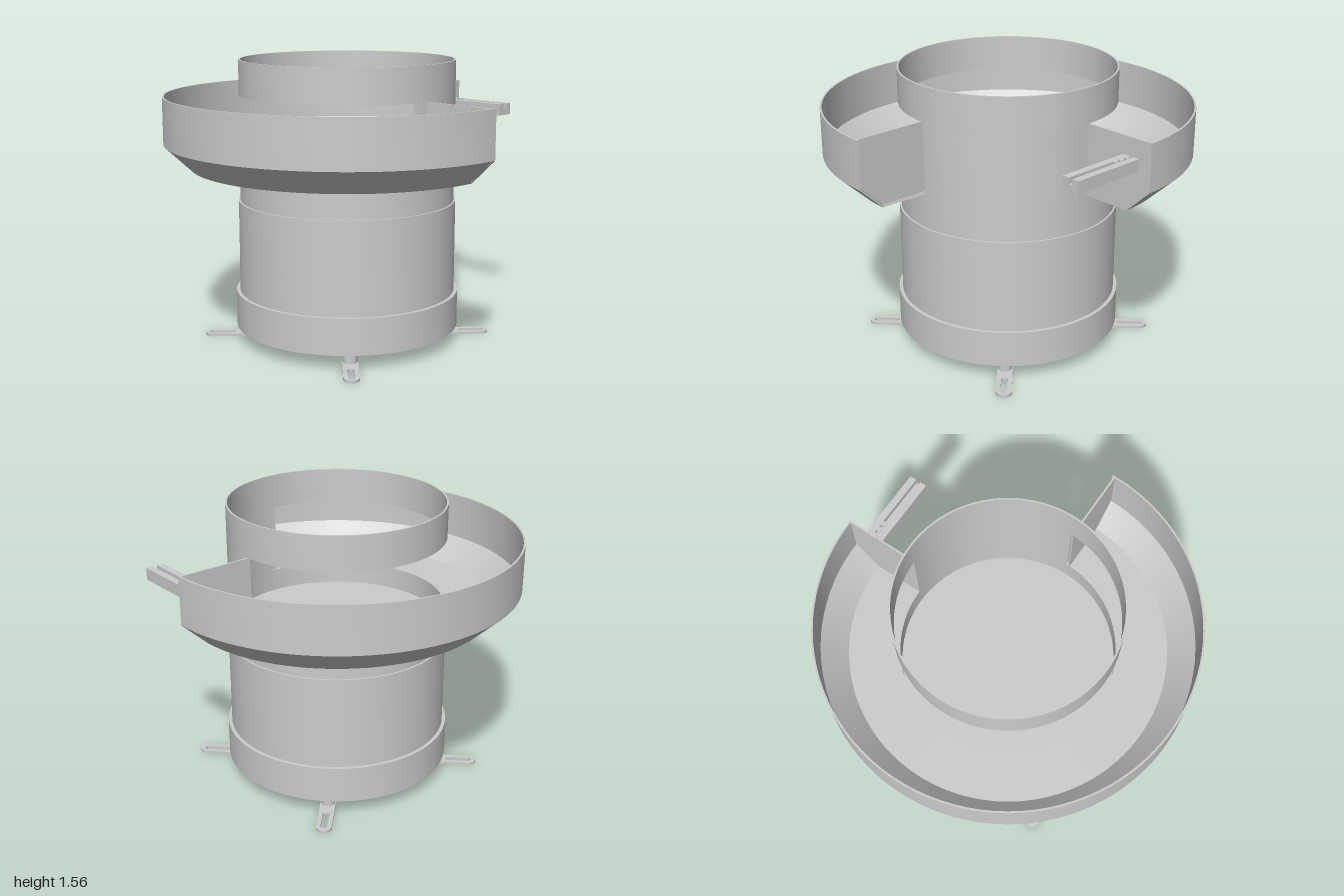
import * as THREE from 'three';
import { toCreasedNormals } from 'three/addons/utils/BufferGeometryUtils.js';

const T = 0.01; // sheet thickness
const material = new THREE.MeshStandardMaterial({ color: 0xcccccc, side: THREE.DoubleSide });

function part(parent, name, geometry, x = 0, y = 0, z = 0) {
  const mesh = new THREE.Mesh(geometry, material);
  mesh.name = name;
  mesh.position.set(x, y, z);
  parent.add(mesh);
  return mesh;
}

// Revolved profile of [radius, height] pairs with crisp corners
function revolve(profile, start = 0, length = Math.PI * 2) {
  const points = profile.map(([r, y]) => new THREE.Vector2(r, y));
  const segments = Math.round(96 * length / (Math.PI * 2));
  return toCreasedNormals(new THREE.LatheGeometry(points, segments, start, length), 0.5);
}

// Thin-walled upright tube
function tube(r, y0, y1, start, length) {
  return revolve([[r - T, y0], [r, y0], [r, y1], [r - T, y1], [r - T, y0]], start, length);
}

// Rounded-end outline running along x
function capsule(path, x0, x1, r) {
  path.absarc(x1, 0, r, -Math.PI / 2, Math.PI / 2, false);
  path.absarc(x0, 0, r, Math.PI / 2, Math.PI * 1.5, false);
  path.closePath();
  return path;
}

function extrude(shape, depth) {
  return toCreasedNormals(
    new THREE.ExtrudeGeometry(shape, { depth, bevelEnabled: false, curveSegments: 12 }), 0.5);
}

export function createModel() {
  const model = new THREE.Group();
  model.name = 'bowlFeeder';

  // Stepped drive housing
  part(model, 'baseHousing', revolve([
    [0, 0.08], [0.62, 0.08], [0.62, 0.28], [0.6, 0.28], [0.6, 0.79], [0, 0.79],
  ]));

  // Bowl: closed below, open to the track on three quarters, closed again on top
  const bowl = new THREE.Group();
  bowl.name = 'bowl';
  model.add(bowl);
  part(bowl, 'lowerWall', tube(0.59, 0.79, 0.98));
  part(bowl, 'frontWall', tube(0.59, 0.98, 1.37, 0, Math.PI / 2));
  part(bowl, 'upperRing', tube(0.59, 1.37, 1.56));
  part(bowl, 'bowlFloor', revolve([[0, 0.85], [0.585, 0.85], [0.585, 0.865], [0, 0.865]]));

  // Three-quarter track around the bowl: floor, sloped edge and outer wall
  part(model, 'track', revolve([
    [0.58, 0.98], [0.86, 0.98], [1, 1.112], [1, 1.37],
    [1 - T, 1.37], [1 - T, 1.117], [0.857, 0.99], [0.58, 0.99], [0.58, 0.98],
  ], Math.PI / 2, Math.PI * 1.5));

  // Plates closing both ends of the track
  const plate = new THREE.Shape([
    [0.58, 0.98], [0.86, 0.98], [1, 1.112], [1, 1.37], [0.58, 1.37],
  ].map(([x, y]) => new THREE.Vector2(x, y)));
  part(model, 'leftEndPlate', extrude(plate, T), 0, 0, -T);
  part(model, 'frontEndPlate', extrude(plate, T), -T, 0, 0).rotation.y = -Math.PI / 2;

  // Grooved outlet rail
  const rail = new THREE.Shape([
    [0.825, 1.207], [0.928, 1.207], [0.928, 1.272], [0.89, 1.272],
    [0.89, 1.24], [0.864, 1.24], [0.864, 1.272], [0.825, 1.272],
  ].map(([x, y]) => new THREE.Vector2(x, y)));
  part(model, 'outletRail', extrude(rail, 0.43));

  // Small pins riding in the groove
  for (const z of [0.035, 0.075, 0.115]) {
    part(model, 'pinShank', new THREE.CylinderGeometry(0.007, 0.007, 0.034, 12), 0.877, 1.257, z);
    part(model, 'pinHead', new THREE.CylinderGeometry(0.015, 0.015, 0.005, 16), 0.877, 1.275, z);
  }

  // Four feet on the diagonals, each a post with a slotted mounting tab
  const tab = capsule(new THREE.Shape(), 0.53, 0.76, 0.042);
  tab.holes.push(capsule(new THREE.Path(), 0.65, 0.76, 0.018));
  const tabGeometry = extrude(tab, 0.015);
  tabGeometry.rotateX(-Math.PI / 2);
  for (let i = 0; i < 4; i++) {
    const foot = new THREE.Group();
    foot.name = 'foot';
    foot.rotation.y = Math.PI / 4 + i * Math.PI / 2;
    part(foot, 'mountingTab', tabGeometry);
    part(foot, 'post', new THREE.CylinderGeometry(0.038, 0.038, 0.07, 24), 0.528, 0.045, 0);
    model.add(foot);
  }
  return model;
}
